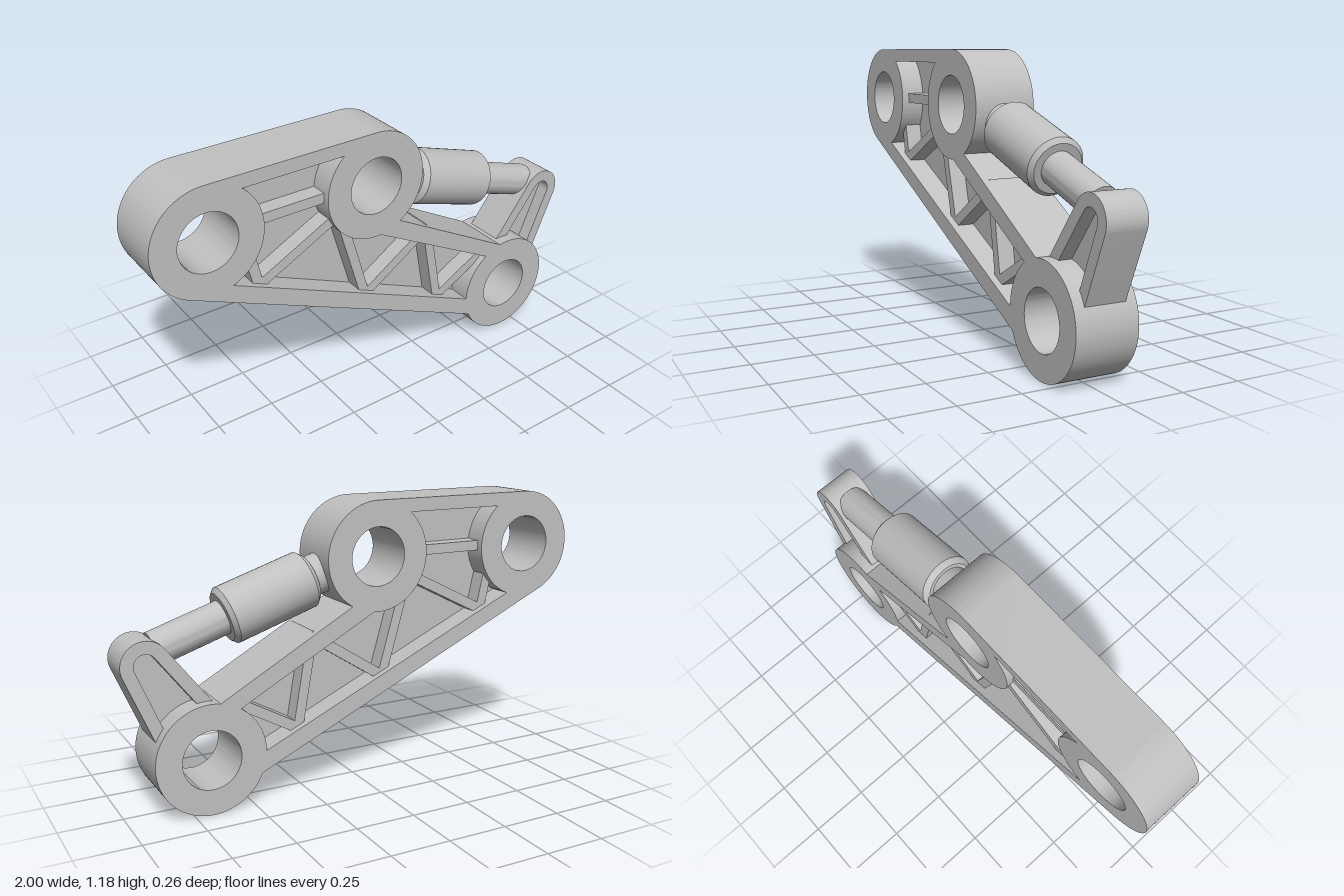
import * as THREE from 'three';
import { toCreasedNormals } from 'three/addons/utils/BufferGeometryUtils.js';

const R = 0.225, BORE = 0.12;
const A = [-0.775, 0.955], B = [-0.05, 0.955], C = [0.677, 0.226];
const rad = (d) => THREE.MathUtils.degToRad(d);

// Arc in degrees; successive arcs are joined by straight lines
function arc(path, [x, y], r, from, to) {
  path.absarc(x, y, r, rad(from), rad(to), to < from);
  return path;
}

// Plate centred on z = 0
function plate(shape, halfDepth) {
  const geo = new THREE.ExtrudeGeometry(shape, { depth: halfDepth * 2, bevelEnabled: false, curveSegments: 40 });
  geo.translate(0, 0, -halfDepth);
  return toCreasedNormals(geo, 0.5);
}

// Recess between the three bosses
function pocketPath(path) {
  arc(path, A, R, 49, -68.5);
  arc(path, C, R, 180, 123);
  arc(path, B, R, -85, -229);
  path.closePath();
  return path;
}

export function createModel() {
  const model = new THREE.Group();
  const metal = new THREE.MeshStandardMaterial({ color: 0xc0c0c0 });
  metal.name = 'grey metal';
  const add = (name, geo, parent = model) => {
    const mesh = new THREE.Mesh(geo, metal);
    mesh.name = name;
    parent.add(mesh);
    return mesh;
  };

  // Frame: rim and three bored bosses
  const outline = new THREE.Shape();
  arc(outline, A, R, 90, 245);
  arc(outline, C, R, 203.5, 460.6);
  arc(outline, B, R, -58.5, 90);
  outline.closePath();
  for (const p of [A, B, C]) outline.holes.push(arc(new THREE.Path(), p, BORE, 0, 360));
  outline.holes.push(pocketPath(new THREE.Path()));
  add('frame', plate(outline, 0.13));

  // Thin web closing the recess
  add('web', plate(pocketPath(new THREE.Shape()), 0.03));

  // Stiffening ribs, ends buried in the rim
  const ribs = new THREE.Group();
  ribs.name = 'ribs';
  model.add(ribs);
  const ribEnds = [
    [-0.57, 0.96, -0.255, 0.96],
    [-0.605, 0.83, -0.57, 0.67],
    [-0.57, 0.683, -0.22, 0.86],
    [-0.185, 0.80, -0.088, 0.46],
    [-0.07, 0.46, 0.24, 0.66],
    [0.24, 0.62, 0.30, 0.285],
    [0.31, 0.29, 0.56, 0.43],
  ];
  for (const [x1, y1, x2, y2] of ribEnds) {
    const rib = add('rib', new THREE.BoxGeometry(Math.hypot(x2 - x1, y2 - y1), 0.042, 0.2), ribs);
    rib.position.set((x1 + x2) / 2, (y1 + y2) / 2, 0);
    rib.rotation.z = Math.atan2(y2 - y1, x2 - x1);
  }

  // Lever: rounded rim with a recess on both faces
  const tip = [0.905, 0.62];
  const leverShape = new THREE.Shape();
  leverShape.moveTo(0.63, 0.42);
  leverShape.lineTo(0.87, 0.29);
  arc(leverShape, tip, 0.095, -22.7, 142.3);
  leverShape.closePath();
  const recess = (path) => {
    path.moveTo(0.69, 0.415);
    path.lineTo(0.845, 0.358);
    arc(path, tip, 0.045, -22.7, 142.3);
    path.closePath();
    return path;
  };
  leverShape.holes.push(recess(new THREE.Path()));
  add('lever', plate(leverShape, 0.085));
  add('leverWeb', plate(recess(new THREE.Shape()), 0.03));

  // Strut: neck, chamfered cylinder and rod turned about one axis
  const strut = new THREE.Group();
  strut.name = 'strut';
  strut.position.set(B[0], B[1], 0);
  strut.rotation.z = Math.atan2(-0.313, 0.95) - Math.PI / 2;
  model.add(strut);
  const turned = (name, points) => {
    const geo = new THREE.LatheGeometry(points.map(([r, s]) => new THREE.Vector2(r, s)), 48);
    add(name, toCreasedNormals(geo, 0.5), strut);
  };
  turned('neck', [[0, 0.18], [0.083, 0.18], [0.083, 0.29], [0, 0.29]]);
  turned('cylinder', [[0, 0.265], [0.098, 0.265], [0.118, 0.285], [0.118, 0.635], [0.1, 0.653], [0, 0.653]]);
  turned('rod', [[0, 0.64], [0.07, 0.64], [0.07, 0.95], [0, 0.95]]);

  return model;
}
